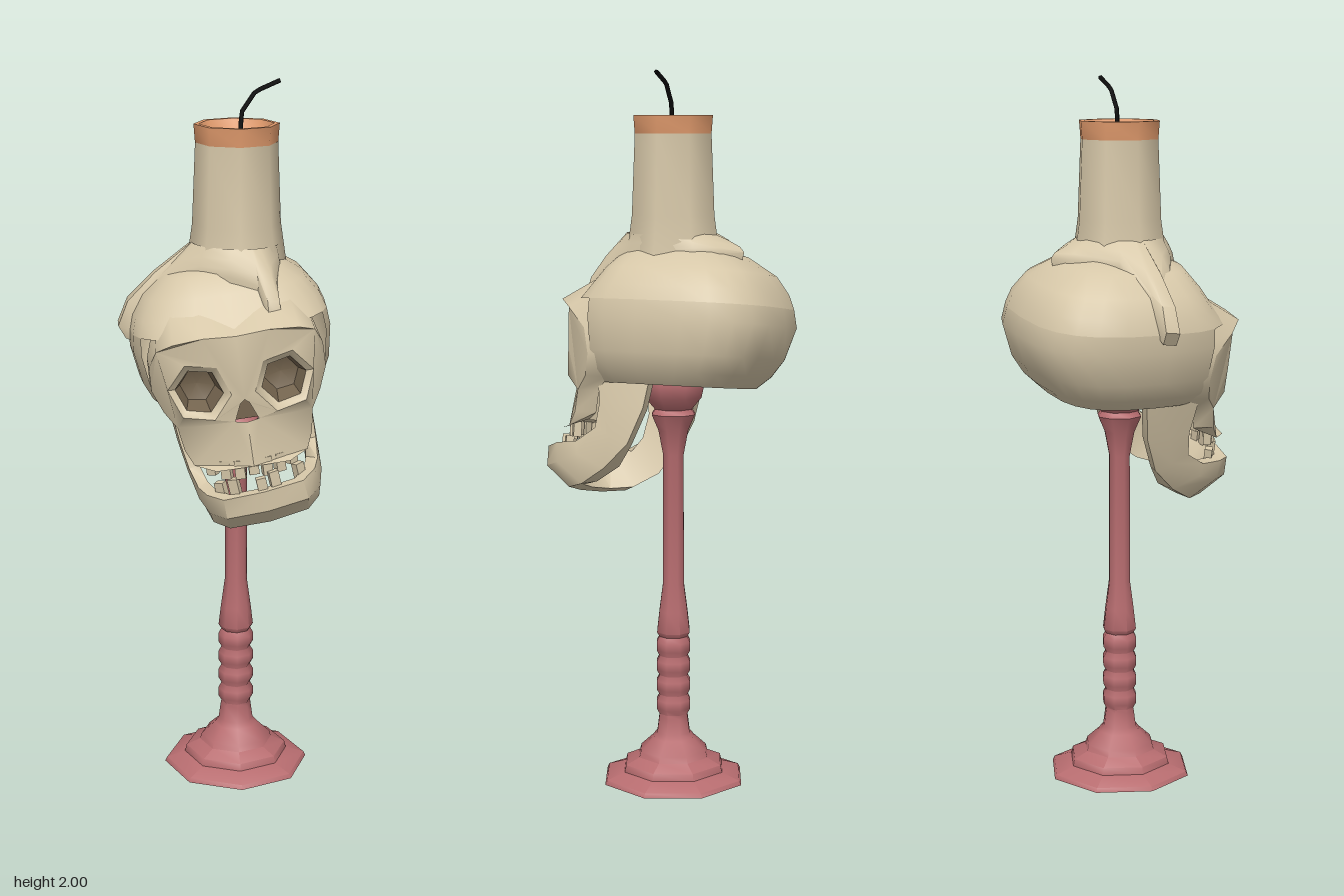
import * as THREE from 'three';
import { toCreasedNormals } from 'three/addons/utils/BufferGeometryUtils.js';

const mat = (name, color) => {
  const m = new THREE.MeshStandardMaterial({ color, side: THREE.DoubleSide });
  m.name = name;
  return m;
};

// Surface through rows of points; closed joins the last column to the first
function loft(rows, closed = true) {
  const n = rows[0].length, index = [];
  for (let r = 0; r < rows.length - 1; r++) {
    for (let c = 0; c < (closed ? n : n - 1); c++) {
      const a = r * n + c, b = r * n + (c + 1) % n;
      index.push(a, b, a + n, b, b + n, a + n);
    }
  }
  const g = new THREE.BufferGeometry();
  g.setAttribute('position', new THREE.Float32BufferAttribute(rows.flat(2), 3));
  g.setIndex(index);
  return toCreasedNormals(g, 0.8);
}

export function createModel() {
  const bone = mat('bone wax', 0xd6c7a8);
  const red = mat('dusty red', 0xb86d70);
  const orange = mat('orange wax', 0xe09a6c);
  const black = mat('wick black', 0x0c0c0c);
  const dark = mat('socket brown', 0x75654f);
  const model = new THREE.Group();
  const CX = 0.033;

  const add = (parent, name, geometry, material) => {
    const m = new THREE.Mesh(geometry, material);
    m.name = name;
    parent.add(m);
    return m;
  };
  const lathe = pts => {
    const g = new THREE.LatheGeometry(pts.map(p => new THREE.Vector2(...p)), 8);
    return toCreasedNormals(g, 0.9).translate(CX, 0, -0.005);
  };

  // Turned stand with beads and a cup inside the skull
  const profile = [[0, 0], [0.209, 0], [0.203, 0.012], [0.15, 0.03], [0.145, 0.05],
    [0.105, 0.068], [0.1, 0.085], [0.062, 0.12], [0.05, 0.135], [0.044, 0.18]];
  for (let i = 0; i < 4; i++) {
    const y = 0.19 + i * 0.057;
    profile.push([0.042, y], [0.051, y + 0.016], [0.051, y + 0.04], [0.042, y + 0.056]);
  }
  profile.push([0.05, 0.43], [0.043, 0.49], [0.032, 0.57], [0.031, 0.94], [0.045, 1.01], [0.065, 1.055],
    [0.055, 1.07], [0.085, 1.105], [0.093, 1.14], [0.085, 1.18], [0, 1.19]);
  add(model, 'stand', lathe(profile), red);

  // Candle, rim and wick
  add(model, 'candle', lathe([[0.155, 1.4], [0.138, 1.5], [0.122, 1.61], [0.113, 1.83]]), bone);
  add(model, 'candleRim', lathe([[0.113, 1.83], [0.117, 1.88], [0.103, 1.88], [0.08, 1.835], [0, 1.815]]), orange);
  const wick = new THREE.CurvePath();
  const wp = [[0.04, 1.815], [0.046, 1.91], [0.083, 1.965], [0.15, 1.994]].map(p => new THREE.Vector3(p[0], p[1], -0.005));
  for (let i = 0; i < 3; i++) wick.add(new THREE.LineCurve3(wp[i], wp[i + 1]));
  add(model, 'wick', new THREE.TubeGeometry(wick, 12, 0.0065, 5), black);

  // Melted wax skirt with three drips
  const edge = [[0.155, 1.5, 0], [0.145, 1.49, 0.08], [0.13, 1.45, 0.16], [0.135, 1.385, 0.215], [0.1, 1.385, 0.222],
    [0.075, 1.47, 0.17], [0, 1.49, 0.15], [-0.08, 1.49, 0.1], [-0.17, 1.45, 0.055], [-0.262, 1.32, 0.026],
    [-0.295, 1.33, 0.012], [-0.295, 1.335, -0.03], [-0.25, 1.37, -0.042], [-0.13, 1.49, -0.085], [-0.06, 1.5, -0.13],
    [-0.02, 1.51, -0.18], [CX, 1.51, -0.215], [0.1, 1.51, -0.17], [0.14, 1.51, -0.11]];
  const skirtRow = (t, s, drop = 0) => edge.map(([x, y, z]) => {
    const dx = x - CX, d = Math.hypot(dx, z), r = 0.124 + (d - 0.124) * t;
    return [CX + dx / d * r, 1.56 + (y - 1.56) * s - drop, z / d * r];
  });
  add(model, 'waxDrips', loft([skirtRow(0, 0), skirtRow(0.5, 0.36), skirtRow(0.87, 0.7),
    skirtRow(1, 1), skirtRow(0.9, 1, 0.035)]), bone);

  // Skull, tilted to one side
  const skull = new THREE.Group();
  skull.name = 'skull';
  skull.position.set(0.02, 1.25, 0);
  skull.rotation.z = 0.13;
  model.add(skull);

  // Cranium levels: height, half width, back, front
  const N = 24;
  const pow = v => Math.sign(v) * Math.abs(v) ** 0.68;
  const level = ([y, hx, zb, zf], from, to) => {
    const row = [];
    for (let i = from; i <= to; i++) {
      const a = i / N * Math.PI * 2, s = pow(Math.sin(a));
      row.push([hx * pow(Math.cos(a)), y, s * (s > 0 ? zf : -zb)]);
    }
    return row;
  };
  const dome = [[0.27, 0.01, -0.02, 0.01], [0.265, 0.1, -0.13, 0.09], [0.25, 0.16, -0.19, 0.13],
    [0.2, 0.225, -0.27, 0.17], [0.15, 0.26, -0.305, 0.205], [0.11, 0.273, -0.32, 0.24]];
  add(skull, 'cranium', loft(dome.map(l => level(l, 0, N - 1))), bone);
  const lower = [dome[5], [0.06, 0.278, -0.33, 0.24], [-0.03, 0.264, -0.3, 0.23], [-0.08, 0.242, -0.265, 0.22],
    [-0.115, 0.21, -0.225, 0.2], [-0.1, 0.18, -0.19, 0.18]];
  add(skull, 'craniumSides', loft(lower.map(l => level(l, 10, 26)), false), bone);

  // Face: half outline from brow to upper jaw, with an eye hole, mirrored
  const half = [[0, 0.105, 0.256], [0.09, 0.115, 0.272], [0.17, 0.108, 0.268], [0.215, 0.085, 0.225], [0.238, 0.03, 0.165],
    [0.24, -0.04, 0.15], [0.215, -0.1, 0.165], [0.185, -0.14, 0.2], [0.175, -0.2, 0.21], [0.155, -0.24, 0.235],
    [0.1, -0.25, 0.285], [0, -0.245, 0.302], [0, -0.125, 0.285], [0.032, -0.122, 0.275], [0.012, -0.075, 0.272], [0, -0.065, 0.275]];
  // brow, cheeks and upper jaw turn back toward the cranium
  const rim = half.slice(0, 12).map(([x, y, z], i) =>
    i < 4 ? [x * 0.95, y + 0.065, z - 0.11] : i < 6 ? [x, y, 0.06] :
      i < 9 ? [x * 0.95, y, z - 0.06] : [x * 0.85, y + 0.02, z - 0.05]);
  const EX = 0.115, EY = -0.035;
  const eyeRing = (r, depth) => Array.from({ length: 6 }, (_, i) => {
    const a = i / 6 * Math.PI * 2 + 0.15, x = EX + r * Math.cos(a);
    return [x, EY + r * Math.sin(a), depth - 1.1 * x * x];
  });
  const eyeEdge = eyeRing(0.064, 0.255), eyeOuter = eyeRing(0.084, 0.272);
  const flat = pts => pts.map(p => new THREE.Vector2(p[0], p[1]));
  // the outline runs clockwise, so it is reversed for triangulation
  const outline = [...half].reverse(), hole = [...eyeOuter].reverse();
  const tris = THREE.ShapeUtils.triangulateShape(flat(outline), [flat(hole)]);
  for (const side of [1, -1]) {
    const name = side > 0 ? 'left' : 'right';
    const mirror = p => [p[0] * side, p[1], p[2]];
    const mirrorRows = rows => rows.map(r => side > 0 ? r.map(mirror) : r.map(mirror).reverse());
    const g = new THREE.BufferGeometry();
    g.setAttribute('position', new THREE.Float32BufferAttribute([...outline, ...hole].map(mirror).flat(), 3));
    g.setIndex(tris.map(t => side > 0 ? t : [t[0], t[2], t[1]]).flat());
    add(skull, name + 'Face', toCreasedNormals(g, 1), bone);
    add(skull, name + 'FaceRim', loft(mirrorRows([rim, half.slice(0, 12)]).map(r => r.reverse()), false), bone);
    // eye rim and socket funnel
    const inner = (k, z) => eyeEdge.map(p => [EX + (p[0] - EX) * k, EY + (p[1] - EY) * k, z]);
    add(skull, name + 'EyeRim', loft(mirrorRows([eyeOuter, eyeEdge])), bone);
    add(skull, name + 'EyeSocket', loft(mirrorRows([eyeEdge, inner(0.75, 0.17), inner(0, 0.15)])), dark);
  }
  const nose = add(skull, 'noseCavity', new THREE.CircleGeometry(0.045, 3), dark);
  nose.rotation.z = Math.PI / 2;
  nose.position.set(0, -0.1, 0.255);

  // Teeth set along an arc, with uneven lengths
  const teeth = (parent, name, y, front, slots, sign) => {
    const group = new THREE.Group();
    group.name = name;
    for (const i of slots) {
      const h = 0.042 + 0.009 * (i * i % 3), x = i * 0.036;
      const t = add(group, 'tooth', new THREE.BoxGeometry(0.027, h, 0.022), bone);
      t.position.set(x, y + sign * h / 2, front - 4 * x * x);
      t.rotation.y = i * 0.2;
    }
    parent.add(group);
  };
  teeth(skull, 'upperTeeth', -0.23, 0.28, [-3, -2, -1, 0, 1, 2, 3], -1);

  // Lower jaw: stations of x, front edge z and y, rear edge z and y
  const jaw = new THREE.Group();
  jaw.name = 'lowerJaw';
  jaw.position.x = -0.015;
  jaw.rotation.z = 0.1;
  skull.add(jaw);
  const stations = [[0.19, 0.15, -0.07, -0.02, -0.07], [0.187, 0.13, -0.19, 0, -0.2], [0.18, 0.14, -0.26, 0.04, -0.3],
    [0.168, 0.2, -0.3, 0.11, -0.37], [0.15, 0.265, -0.305, 0.18, -0.415], [0.11, 0.31, -0.315, 0.235, -0.425],
    [0, 0.325, -0.315, 0.25, -0.428]];
  const path = [...stations.map(s => [-s[0], ...s.slice(1)]), ...stations.slice(0, 6).reverse()];
  add(jaw, 'jawBone', loft(path.map(([x, zt, yt, zb, yb]) => {
    const d = zt > 0.19 ? 0.035 : 0;
    return [[x, yt, zt], [x * 1.03, (yt + yb) / 2, (zt + zb) / 2 + d], [x, yb, zb],
      [x * 0.83, yb + d * 0.3, zb - d], [x * 0.83, yt, zt - d]];
  })), bone);
  teeth(jaw, 'lowerTeeth', -0.325, 0.295, [-3, -2, 0, 1, 3], 1);

  return model;
}
